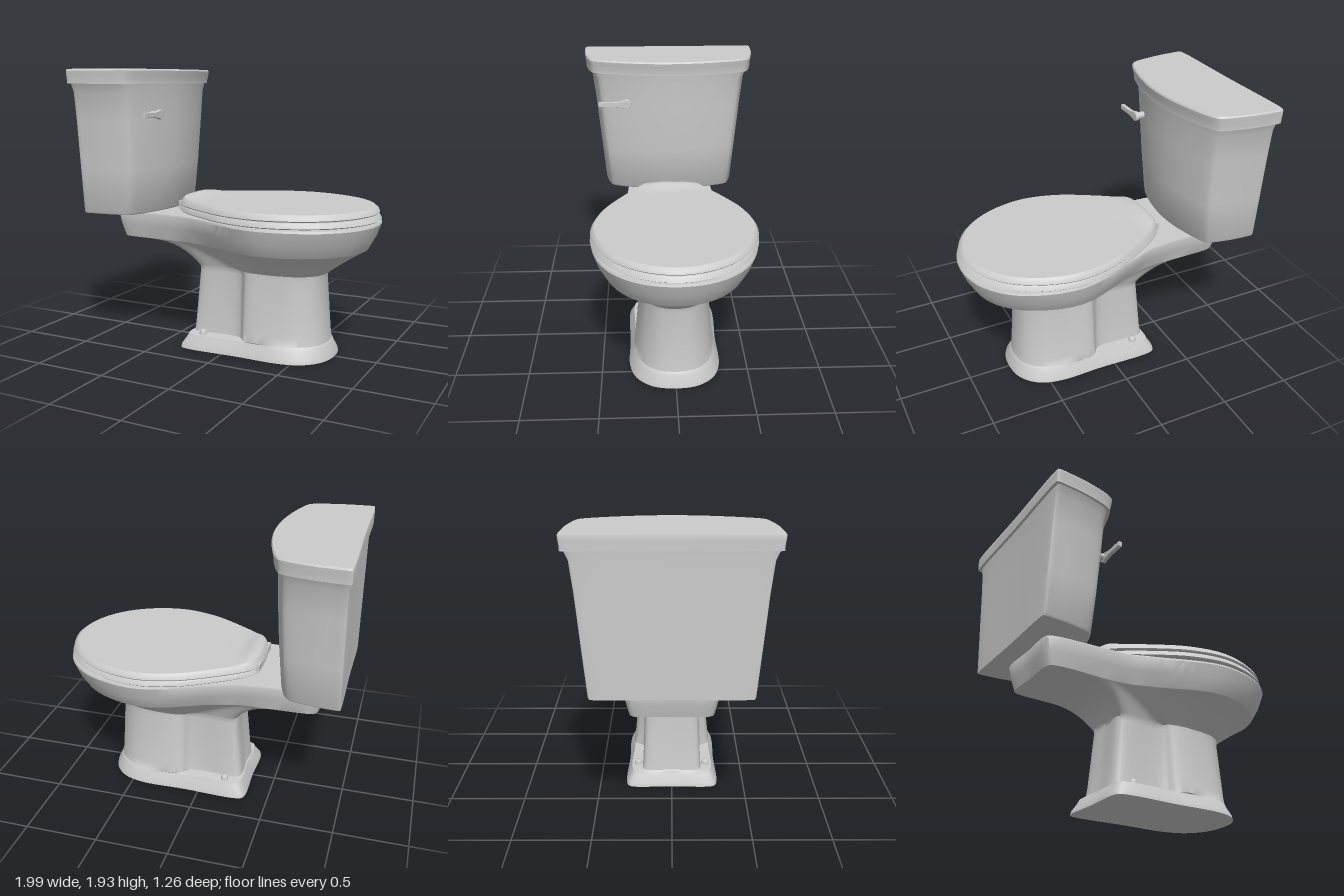
import * as THREE from 'three';
import { toCreasedNormals } from 'three/addons/utils/BufferGeometryUtils.js';

const material = new THREE.MeshStandardMaterial({ color: 0xcccccc, roughness: 0.5 });

// Closed smooth ring at height y from a half outline [x, z], front to back, mirrored in z
function ring(half, y) {
  const full = [...half, ...half.slice(1, -1).reverse().map(([x, z]) => [x, -z])];
  const curve = new THREE.CatmullRomCurve3(
    full.map(([x, z]) => new THREE.Vector3(x, y, z)), true, 'centripetal');
  const n = full.length * 7;
  return Array.from({ length: n }, (_, i) => curve.getPoint(i / n));
}

// Capped skin through [half outline, y] sections, bottom to top
function loft(sections, bend, crease = 0.6) {
  const rings = sections.map(([half, y]) => ring(half, y));
  const n = rings[0].length, pos = [], index = [];
  rings.forEach(r => r.forEach(p => pos.push(p.x, p.y, p.z)));
  for (let j = 0; j < rings.length - 1; j++) {
    for (let i = 0; i < n; i++) {
      const a = j * n + i, b = j * n + (i + 1) % n;
      index.push(a, a + n, b, b, a + n, b + n);
    }
  }
  [0, rings.length - 1].forEach((j, top) => {
    const c = pos.length / 3, r = rings[j];
    pos.push((r[0].x + r[n / 2].x) / 2, r[0].y, 0);
    for (let i = 0; i < n; i++) {
      const a = j * n + i, b = j * n + (i + 1) % n;
      if (top) index.push(c, b, a); else index.push(c, a, b);
    }
  });
  const geo = new THREE.BufferGeometry();
  geo.setAttribute('position', new THREE.Float32BufferAttribute(pos, 3));
  geo.setIndex(index);
  if (bend) {
    const p = geo.attributes.position;
    for (let i = 0; i < p.count; i++) p.setY(i, bend(p.getX(i), p.getY(i), p.getZ(i)));
  }
  return toCreasedNormals(geo, crease);
}

// Pedestal outline: rounded front of half width w, rear panel of half width r
const foot = (f, b, w, r) => [
  [f, 0], [f - 0.03, 0.5 * w], [f - 0.13, 0.85 * w], [f - 0.28, w],
  [0.15, w], [0.08, r], [b + 0.03, r], [b, r - 0.03], [b, 0]];

// Tank outline between back b and front f, half width w
const tankHalf = [[-0.44, 0], [-0.47, 0.28], [-0.55, 0.54], [-0.58, 0.568],
  [-0.75, 0.61], [-0.9, 0.625], [-0.995, 0.625], [-1, 0.615], [-1, 0]];
const tankRing = (f, b, w) => tankHalf.map(([x, z]) =>
  [b + (x + 1) / 0.56 * (f - b), z * w / 0.625]);

// Seat outline scaled about the bowl centre
const seatHalf = [[0.98, 0], [0.93, 0.21], [0.8, 0.385], [0.6, 0.505], [0.35, 0.555],
  [0.1, 0.505], [-0.11, 0.4], [-0.34, 0.245], [-0.39, 0.18], [-0.41, 0]];
const seatRing = (s, dx = 0) => seatHalf.map(([x, z]) => [0.29 + (x - 0.29) * s + dx, z * s]);

export function createModel() {
  const model = new THREE.Group();
  model.name = 'toilet';
  const add = (name, geo, x = 0, y = 0, z = 0) => {
    const mesh = new THREE.Mesh(geo, material);
    mesh.name = name;
    mesh.position.set(x, y, z);
    model.add(mesh);
    return mesh;
  };

  // Foot, pedestal, bowl and rear deck in one skin
  const rimTop = [[0.99, 0], [0.93, 0.25], [0.74, 0.45], [0.35, 0.55], [-0.11, 0.4],
    [-0.28, 0.34], [-0.82, 0.29], [-0.85, 0.26], [-0.85, 0]];
  const rimLow = [[0.91, 0], [0.85, 0.22], [0.67, 0.39], [0.33, 0.48], [-0.1, 0.33],
    [-0.28, 0.28], [-0.78, 0.26], [-0.81, 0.23], [-0.81, 0]];
  const neck = foot(0.63, -0.24, 0.22, 0.18);
  const blend = t => rimLow.map(([x, z], i) => {
    const k = i > 5 ? t ** 0.25 : t;  // the deck's underside runs in quickly
    return [x + (neck[i][0] - x) * k, z + (neck[i][1] - z) * t];
  });
  add('bowlAndPedestal', loft([
    [foot(0.705, -0.335, 0.31, 0.31), 0],
    [foot(0.7, -0.33, 0.305, 0.305), 0.025],
    [foot(0.675, -0.3, 0.28, 0.28), 0.075],
    [foot(0.668, -0.292, 0.272, 0.272), 0.097],
    [foot(0.662, -0.283, 0.268, 0.2), 0.103],
    [foot(0.655, -0.275, 0.26, 0.195), 0.16],
    [foot(0.632, -0.243, 0.225, 0.18), 0.54],
    ...[0.97, 0.88, 0.75, 0.6, 0.45, 0.3, 0.18, 0.09, 0.03, 0.008].map(t =>
      [blend(t), 0.75 - 0.185 * t ** 1.1]),
    [rimLow, 0.752],
    [rimLow.map(([x, z], i) => [x + (rimTop[i][0] - x) * 0.6, z + (rimTop[i][1] - z) * 0.6]), 0.84],
    [rimTop.map(([x, z]) => [x * 0.998, z * 0.995]), 0.925],
    [rimTop.map(([x, z]) => [x * 0.992, z * 0.985]), 0.938],
  ]));

  // Seat
  add('seat', loft([
    [seatRing(0.985, 0.01), 0.948], [seatRing(1, 0.01), 0.955],
    [seatRing(0.985, 0.005), 0.98], [seatRing(0.975, 0.005), 0.987],
  ]));

  // Lid with a raised rear lip
  const lip = (x, y, z) => y < 1.02 ? y :
    y - 0.006 * x + 0.028 * Math.exp(-(((x + 0.33) / 0.06) ** 2)) * Math.max(0, 1 - (z / 0.27) ** 2);
  add('lid', loft([
    [seatRing(0.985), 0.993], [seatRing(0.995), 1.0], [seatRing(0.985), 1.015], [seatRing(0.965), 1.032],
    ...[0.95, 0.93, 0.91, 0.89, 0.87, 0.84, 0.81, 0.77, 0.7, 0.4].map(s => [seatRing(s), 1.04]),
  ], lip));

  // Hinge bar behind the seat
  const hinge = new THREE.Shape([[-0.4, 1.02], [-0.4, 0.97], [-0.39, 0.957], [-0.37, 0.953],
    [-0.35, 0.965], [-0.34, 1.02]].map(([x, y]) => new THREE.Vector2(x, y)));
  add('hinge', new THREE.ExtrudeGeometry(hinge, { depth: 0.36, bevelEnabled: false }), 0, 0, -0.18);

  // Tank and tank lid
  add('tank', loft([
    [tankRing(-0.54, -0.98, 0.485), 0.937], [tankRing(-0.53, -0.98, 0.492), 0.95],
    [tankRing(-0.505, -0.98, 0.52), 1.25], [tankRing(-0.487, -0.98, 0.55), 1.58],
    [tankRing(-0.482, -0.98, 0.573), 1.77], [tankRing(-0.475, -0.982, 0.6), 1.83],
  ]));
  add('tankLid', loft([
    [tankRing(-0.452, -1, 0.617), 1.828], [tankRing(-0.452, -1, 0.617), 1.85],
    [tankRing(-0.442, -1, 0.623), 1.89], [tankRing(-0.438, -1, 0.625), 1.915],
    [tankRing(-0.445, -0.997, 0.618), 1.926],
  ]));

  // Flush lever: pivot and tapering arm
  const pivot = add('leverPivot', new THREE.CylinderGeometry(0.024, 0.024, 0.08, 20), -0.5, 1.622, 0.31);
  pivot.rotation.z = Math.PI / 2;
  const arm = new THREE.Shape();
  arm.moveTo(0.2, -0.014);
  arm.lineTo(0.2, 0.014);
  arm.lineTo(0.09, 0.014);
  arm.quadraticCurveTo(0.05, 0.016, 0.02, 0.026);
  arm.absarc(0, 0, 0.03, 1.0, 2 * Math.PI - 1.0, false);
  arm.quadraticCurveTo(0.05, -0.016, 0.09, -0.014);
  const lever = add('leverArm', new THREE.ExtrudeGeometry(arm, {
    depth: 0.02, bevelThickness: 0.004, bevelSize: 0.003, bevelSegments: 2,
  }), -0.453, 1.622, 0.31);
  lever.rotation.y = -Math.PI / 2;

  // Floor bolt caps
  for (const side of [1, -1]) {
    const cap = new THREE.LatheGeometry([[0.027, 0], [0.025, 0.02], [0.019, 0.033], [0, 0.036]]
      .map(([x, y]) => new THREE.Vector2(x, y)), 16);
    add(side > 0 ? 'leftBoltCap' : 'rightBoltCap', cap, -0.18, 0.098, side * 0.237);
  }
  return model;
}
